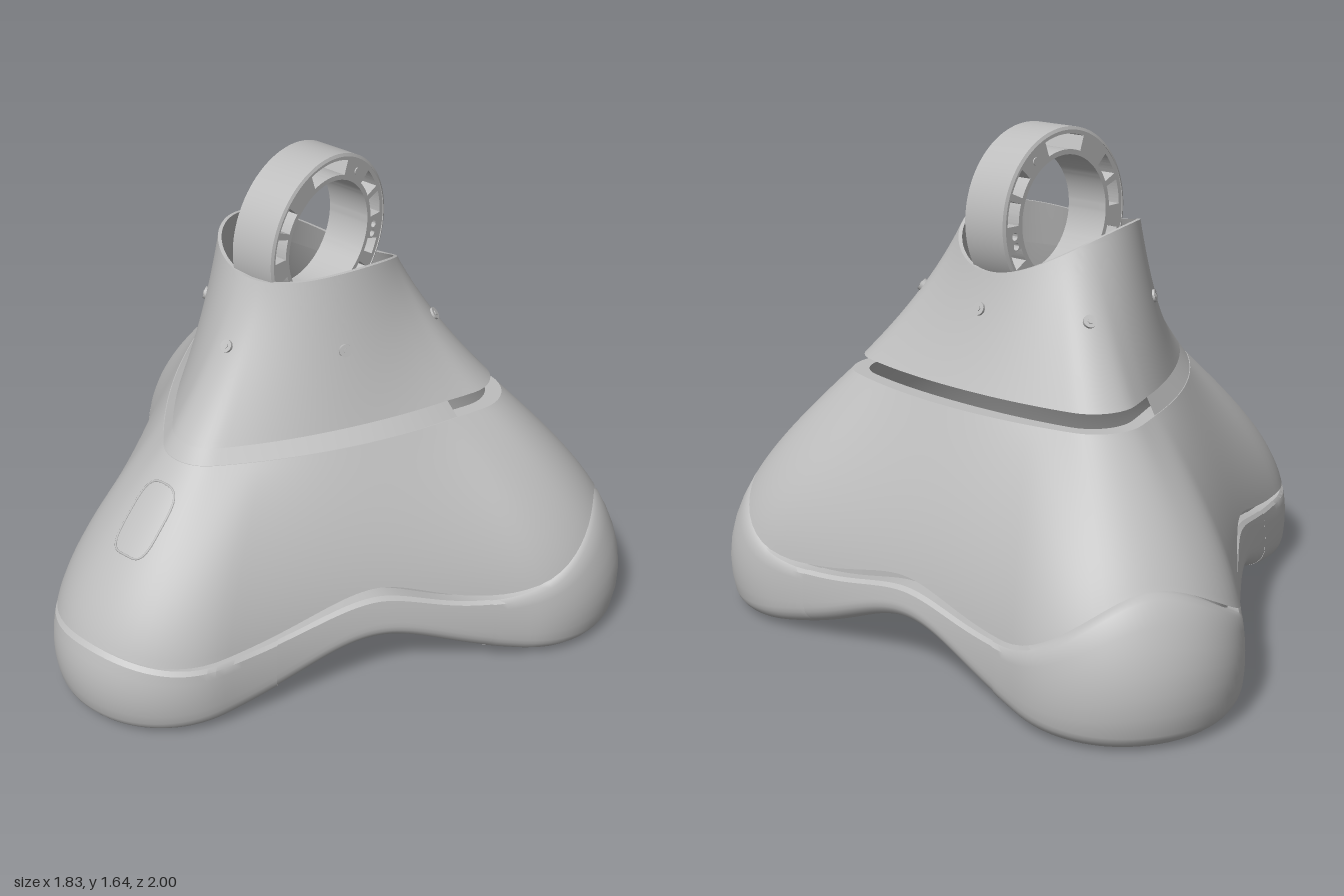
import * as THREE from 'three';
import { toCreasedNormals } from 'three/addons/utils/BufferGeometryUtils.js';

const { lerp, clamp, smoothstep, degToRad: rad } = THREE.MathUtils;
const CX = 0.175; // axis of the three-lobed body

// Angle from the nearest lobe tip (lobes lie at 60, 180 and 300 degrees)
const lobeAngle = (a) => {
  const p = (((a - Math.PI / 3) % (2 * Math.PI / 3)) + 2 * Math.PI / 3) % (2 * Math.PI / 3);
  return Math.min(p, 2 * Math.PI / 3 - p);
};
const valley = (a) => (1 - Math.cos(3 * lobeAngle(a))) / 2;

// Polar outline: lobe circles (radius r at distance d) joined by tangent arcs through v
function trilobe(d, r, v) {
  const rho = (d * d + v * v - d * v - r * r) / (2 * r - 2 * v + d);
  const D = v + rho;
  const tx = d + r * (D * 0.5 - d) / (r + rho), ty = r * D * Math.sin(Math.PI / 3) / (r + rho);
  const limit = Math.atan2(ty, tx);
  return (a) => {
    const p = lobeAngle(a), q = Math.PI / 3 - p;
    if (p <= limit) return d * Math.cos(p) + Math.sqrt(Math.max(0, r * r - (d * Math.sin(p)) ** 2));
    return D * Math.cos(q) - Math.sign(rho) * Math.sqrt(rho * rho - (D * Math.sin(q)) ** 2);
  };
}
const foot = trilobe(0.718, 0.378, 0.672);
const shoulder = trilobe(0.5, 0.15, 0.455);

// Slightly tilted edges around the slot between cover and neck
const tilt = (a) => clamp((shoulder(a) * Math.cos(a) + 0.65) / 0.75, 0, 1);
const coverTop = (a) => lerp(0.785, 0.82, tilt(a));
const neckBase = (a) => lerp(0.83, 0.87, tilt(a));

// Body radius at angle a and height y
function bodyR(a, y) {
  const top = coverTop(a);
  return lerp(shoulder(a), foot(a), Math.sin(Math.PI / 2 * (top - y) / (top - 0.15)));
}

// Wavy lower edge of the cover
const waves = [[0, 0.32], [33, 0.26], [60, 0.455], [88, 0.28], [120, 0.37], [161, 0.27], [180, 0.3]];
function seamY(a) {
  const deg = Math.abs(Math.atan2(Math.sin(a), Math.cos(a))) * 180 / Math.PI;
  for (let i = 1; i < waves.length; i++) {
    const [a0, y0] = waves[i - 1], [a1, y1] = waves[i];
    if (deg <= a1) return lerp(y0, y1, smoothstep(deg, a0, a1));
  }
  return 0.3;
}
const lowY = (a) => 0.17 * valley(a) ** 1.5;
const plateR = (a) => bodyR(a, lowY(a)) - 0.14 - 0.1 * (1 - valley(a));

// Neck: rounded triangle below, circle with a saddle rim above
const rimY = (a) => 1.3 + 0.045 * Math.sin(a) ** 2 - 0.045 * Math.cos(a) - 0.045 * Math.cos(a) ** 2;
function neckPoint(a, s, inset = 0) {
  const w = s + 0.3 * s * (1 - s);
  const r = lerp(shoulder(a) - 0.04, 0.281 + 0.017 * Math.sin(a) ** 2, w) - inset;
  return [lerp(CX, 0.157, w) + r * Math.cos(a), lerp(neckBase(a), rimY(a), s), r * Math.sin(a)];
}

// Surface through rows of points that run from the top downwards
function loft(point, rows, from = 0, to = 360, steps = 180) {
  const closed = to - from === 360, cols = closed ? steps : steps + 1;
  const pos = [], idx = [];
  for (let j = 0; j <= rows; j++)
    for (let i = 0; i < cols; i++) pos.push(...point(rad(lerp(from, to, i / steps)), j));
  for (let j = 0; j < rows; j++)
    for (let i = 0; i < steps; i++) {
      const a = j * cols + i, b = j * cols + (i + 1) % cols, c = a + cols, d = b + cols;
      idx.push(a, b, c, b, d, c);
    }
  const g = new THREE.BufferGeometry();
  g.setAttribute('position', new THREE.Float32BufferAttribute(pos, 3));
  g.setIndex(idx);
  return toCreasedNormals(g, 0.6);
}
const polar = (a, r, y) => [CX + r * Math.cos(a), y, r * Math.sin(a)];

// Bumper cross-section: groove wall, ledge, side wall, rounded bottom edge, inner slope
function bumperPoint(a, j, inset) {
  const top = seamY(a) - 0.01 - 0.03 * valley(a), low = lowY(a);
  const R = (y) => bodyR(a, y) - inset;
  if (j === 0) return polar(a, R(top) - 0.06, seamY(a) + 0.01);
  if (j === 1) return polar(a, R(top) - 0.06, top);
  if (j === 2) return polar(a, R(top) - 0.012, top);
  if (j <= 9) {
    const y = lerp(top - 0.012, low + 0.05, (j - 3) / 6);
    return polar(a, R(y), y);
  }
  if (j <= 14) {
    const k = (j - 9) / 5 * Math.PI / 2, y = low + 0.05 * (1 - Math.sin(k));
    return polar(a, R(y) - 0.05 * (1 - Math.cos(k)), y);
  }
  return j === 15 ? polar(a, R(low) - 0.11, low) : polar(a, plateR(a), 0.125);
}

export function createModel() {
  const group = new THREE.Group();
  const grey = new THREE.MeshStandardMaterial({ color: 0xbdbdbd });
  grey.name = 'grey';
  const shellGrey = new THREE.MeshStandardMaterial({ color: 0xbdbdbd, side: THREE.DoubleSide });
  shellGrey.name = 'shell grey';
  const add = (name, geometry, material = grey, parent = group) => {
    const m = new THREE.Mesh(geometry, material);
    m.name = name;
    parent.add(m);
    return m;
  };

  // Upper cover with an inner ledge on top and a return lip along the wavy seam
  add('cover', loft((a, j) => {
    if (j === 0) return polar(a, shoulder(a) - 0.055, coverTop(a));
    const y = lerp(coverTop(a), seamY(a), Math.min(j - 1, 24) / 24);
    return polar(a, bodyR(a, y) - (j === 26 ? 0.09 : 0), y);
  }, 26), shellGrey);

  // Band below the neck; the slot stays open on the +x side
  add('neckBand', loft((a, j) => polar(a, shoulder(a) - (j ? 0.001 : 0.044),
    j ? coverTop(a) - 0.002 : neckBase(a) + 0.004), 1, 79, 281, 101), shellGrey);

  // Neck with a thin rim and a short inner wall
  add('neck', loft((a, j) => {
    if (j === 0) return neckPoint(a, 0.7, 0.012);
    if (j === 1) return neckPoint(a, 1, 0.012);
    return neckPoint(a, 1 - (j - 2) / 24);
  }, 26), shellGrey);

  // Bumper caps on the lobes and slightly recessed strips running in behind them
  for (const [from, to] of [[31, 90], [147, 213], [270, 329]])
    add('bumperCap', loft((a, j) => bumperPoint(a, j, 0), 16, from, to, 48), shellGrey);
  for (const [from, to] of [[-32, 32], [89, 148], [212, 271]])
    add('bumperStrip', loft((a, j) => bumperPoint(a, j, 0.005), 16, from, to, 48), shellGrey);

  // Underside plate, facing down
  add('basePlate', loft((a, j) => polar(a, j ? 0 : plateR(a) + 0.002, 0.125), 1));

  // Tapered wheel housings and plate screws under each lobe
  for (const deg of [60, 180, 300]) {
    const lobe = new THREE.Group();
    lobe.name = 'lobeUnderside';
    lobe.position.x = CX;
    lobe.rotation.y = -rad(deg);
    group.add(lobe);
    const half = deg === 180 ? 0.32 : 0.21;
    const g = new THREE.BoxGeometry(0.17, 0.115, half * 2).toNonIndexed();
    const p = g.attributes.position;
    for (let i = 0; i < p.count; i++)
      if (p.getY(i) < 0) {
        p.setZ(i, p.getZ(i) * 0.75);
        if (p.getX(i) < 0) p.setX(i, p.getX(i) + 0.035);
      }
    g.computeVertexNormals();
    add('wheelHousing', g, grey, lobe).position.set(0.6, 0.07, 0);
    for (const z of [-0.2, 0.2])
      add('plateScrew', new THREE.CylinderGeometry(0.012, 0.012, 0.008, 12), grey, lobe).position.set(0.42, 0.122, z);
  }

  // Six screws around the neck
  for (let i = 0; i < 6; i++) {
    const a = i * Math.PI / 3, s = (1.1 - neckBase(a)) / (rimY(a) - neckBase(a));
    const p = new THREE.Vector3(...neckPoint(a, s));
    const up = new THREE.Vector3(...neckPoint(a, s + 0.05)).sub(p);
    const side = new THREE.Vector3(-Math.sin(a), 0, Math.cos(a));
    const screw = add('neckScrew', new THREE.CylinderGeometry(0.021, 0.021, 0.016, 20));
    screw.position.copy(p);
    screw.quaternion.setFromUnitVectors(new THREE.Vector3(0, 1, 0), up.cross(side).normalize());
    const socket = add('screwSocket', new THREE.CylinderGeometry(0.009, 0.009, 0.022, 6));
    socket.position.copy(p);
    socket.quaternion.copy(screw.quaternion);
  }

  // Pill-shaped button outline lying on the cover of the -x lobe
  const outline = [];
  for (let i = 0; i < 40; i++) {
    const t = i / 40 * Math.PI * 2, c = Math.cos(t), s = Math.sin(t);
    const x = -0.628 + 0.092 * Math.sign(c) * Math.abs(c) ** 0.55;
    const z = 0.07 * Math.sign(s) * Math.abs(s) ** 0.55;
    const a = Math.atan2(z, x - CX), r = Math.hypot(x - CX, z);
    let lo = 0.3, hi = 0.8;
    for (let k = 0; k < 20; k++) {
      const mid = (lo + hi) / 2;
      if (bodyR(a, mid) > r) lo = mid; else hi = mid;
    }
    outline.push(new THREE.Vector3(x, lo, z));
  }
  add('buttonOutline', new THREE.TubeGeometry(new THREE.CatmullRomCurve3(outline, true), 80, 0.004, 6, true));

  // Upright ring with curved windows and small round holes
  const ring = new THREE.Shape().absarc(0, 0, 0.277, 0, Math.PI * 2, false);
  ring.holes.push(new THREE.Path().absarc(0, 0, 0.197, 0, Math.PI * 2, true));
  for (const [deg, half] of [[90, 20], [147, 9], [170, 9], [33, 9], [10, 9], [205, 9], [230, 9], [310, 9], [335, 6]]) {
    const w = new THREE.Path();
    w.absarc(0, 0, 0.262, rad(deg - half), rad(deg + half), false);
    w.absarc(0, 0, 0.213, rad(deg + half), rad(deg - half), true);
    w.closePath();
    ring.holes.push(w);
  }
  for (const deg of [-7, -15])
    ring.holes.push(new THREE.Path().absarc(0.232 * Math.cos(rad(deg)), 0.232 * Math.sin(rad(deg)), 0.012, 0, Math.PI * 2, true));
  const ringGeo = new THREE.ExtrudeGeometry(ring, { depth: 0.16, bevelEnabled: false, curveSegments: 64 });
  add('ring', toCreasedNormals(ringGeo.translate(0, 0, -0.08), 0.5)).position.set(0.17, 1.355, 0);

  // Outer hoop standing slightly proud of the ring
  const hoop = [[0.275, -0.085], [0.285, -0.08], [0.285, 0.08], [0.275, 0.085]].map((q) => new THREE.Vector2(...q));
  const hoopMesh = add('ringHoop', toCreasedNormals(new THREE.LatheGeometry(hoop, 96), 0.5), shellGrey);
  hoopMesh.rotation.x = Math.PI / 2;
  hoopMesh.position.set(0.17, 1.355, 0);

  // Screw heads on both ring faces
  for (const z of [-0.081, 0.081]) {
    const head = add('ringScrew', new THREE.CylinderGeometry(0.012, 0.012, 0.006, 16));
    head.rotation.x = Math.PI / 2;
    head.position.set(0.17 + 0.236 * Math.cos(rad(55)), 1.355 + 0.236 * Math.sin(rad(55)), z);
  }
  return group;
}
